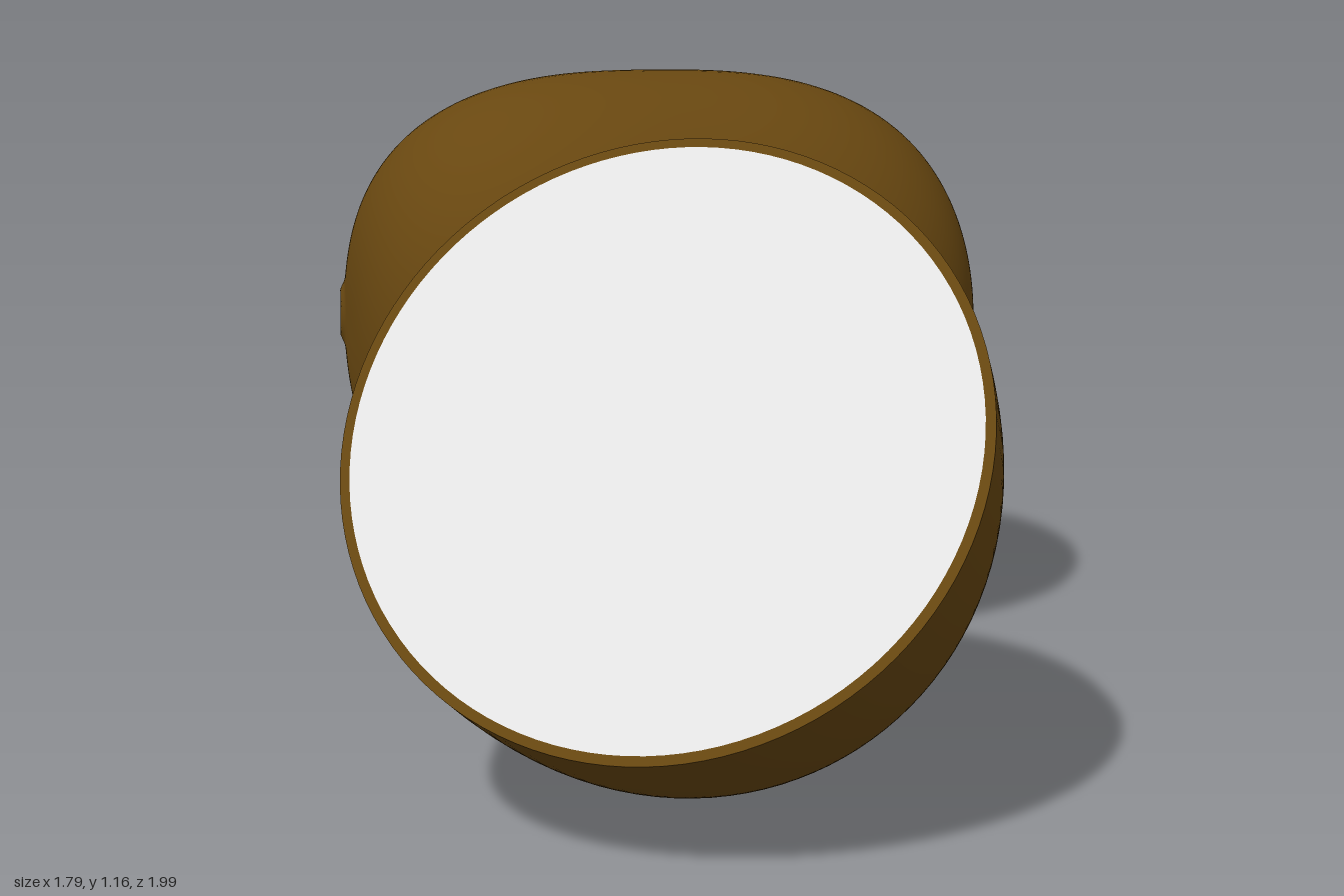
import * as THREE from 'three';
import { mergeVertices } from 'three/addons/utils/BufferGeometryUtils.js';

const POWER = 2.7; // squareness of the fruit's long profile

// Rounded fruit skin around the y axis, with a ringed blossom scar at the -y end
function skinGeometry(radius, length, endAngle, rows, scarX, scarZ) {
  const points = [];
  for (let i = 0; i <= rows; i++) {
    const t = (i / rows) * endAngle;
    const s = Math.sin(t);
    const y = length * Math.pow(Math.max(0, 1 - Math.pow(s, POWER)), 1 / POWER);
    points.push(new THREE.Vector2(Math.max(0, radius * s), t < Math.PI / 2 ? -y : y));
  }
  let geo = new THREE.LatheGeometry(points, 112);
  geo.deleteAttribute('uv');
  geo.deleteAttribute('normal');
  const pos = geo.attributes.position;
  for (let i = 0; i < pos.count; i++) {
    if (pos.getY(i) > -length * 0.5) continue;
    const d = Math.hypot(pos.getX(i) - scarX, pos.getZ(i) - scarZ);
    const ring = 0.009 * Math.exp(-(((d - 0.045) / 0.015) ** 2));
    const pit = 0.012 * Math.exp(-((d / 0.025) ** 2));
    pos.setY(i, pos.getY(i) - ring + pit);
  }
  geo = mergeVertices(geo, 1e-5);
  geo.computeVertexNormals();
  return geo;
}

export function createModel() {
  const model = new THREE.Group();
  model.name = 'fruit';
  const brown = new THREE.MeshStandardMaterial({ color: 0x684710 });
  brown.name = 'brown skin';
  const white = new THREE.MeshStandardMaterial({ color: 0xffffff });
  white.name = 'white flesh';

  const add = (parent, name, geometry, material) => {
    const mesh = new THREE.Mesh(geometry, material);
    mesh.name = name;
    parent.add(mesh);
    return mesh;
  };

  // Whole fruit, lying on a diagonal
  const whole = add(model, 'wholeFruit',
    skinGeometry(0.513, 0.645, Math.PI, 200, -0.146, 0.015), brown);
  whole.quaternion.setFromRotationMatrix(new THREE.Matrix4().makeBasis(
    new THREE.Vector3(0.75, 0, 0.66).normalize(),
    new THREE.Vector3(0.66, 0, -0.75).normalize(),
    new THREE.Vector3(0, 1, 0)));
  whole.position.set(-0.27, 0.655, -0.35);

  // Half fruit, its cut face tipped up and forward
  const half = new THREE.Group();
  half.name = 'halfFruit';
  add(half, 'halfSkin', skinGeometry(0.52, 0.695, Math.PI / 2, 100, 0, 0), brown);
  add(half, 'skinRim', new THREE.RingGeometry(0.504, 0.52, 112).rotateX(-Math.PI / 2), brown);
  add(half, 'cutFace', new THREE.CircleGeometry(0.504, 112).rotateX(-Math.PI / 2), white);
  half.quaternion.setFromUnitVectors(
    new THREE.Vector3(0, 1, 0), new THREE.Vector3(0.24, 0.525, 0.817).normalize());
  half.position.set(0.39, 0.63, 0.7);
  model.add(half);

  return model;
}
